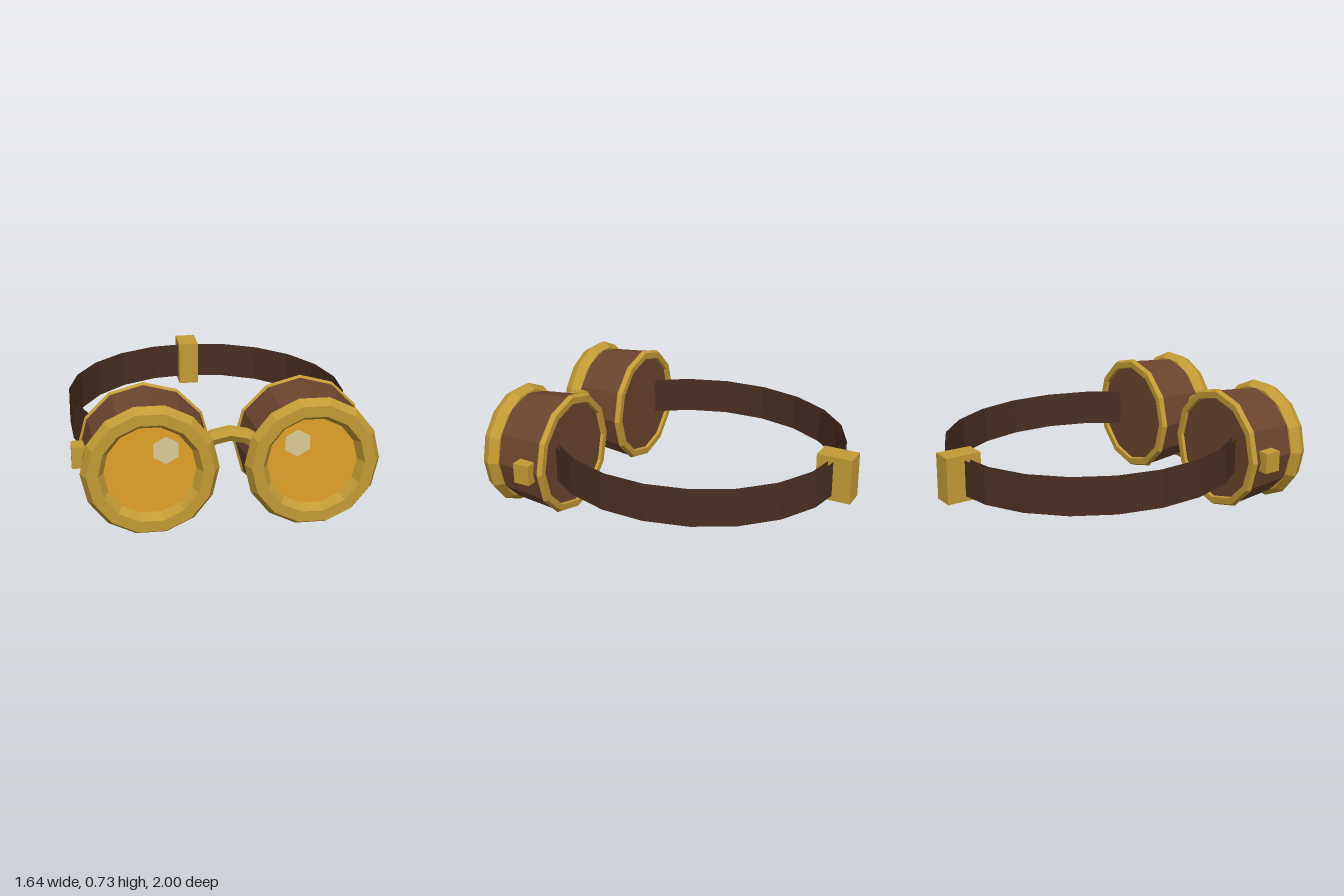
import * as THREE from 'three';

const paint = (color, side = THREE.FrontSide) =>
  new THREE.MeshStandardMaterial({ color, flatShading: true, side });

export function createModel() {
  const model = new THREE.Group();
  const brass = paint(0xc39a35);
  const leather = paint(0x6b442e);
  const strapLeather = paint(0x4a2e22, THREE.DoubleSide);
  const amber = paint(0xe0a028);
  const shine = paint(0xdccb96);
  const midY = 0.364, eyeX = 0.425;

  const add = (parent, name, geometry, material, x = 0, y = 0, z = 0) => {
    const mesh = new THREE.Mesh(geometry, material);
    mesh.name = name;
    mesh.position.set(x, y, z);
    parent.add(mesh);
    return mesh;
  };

  // Rim profile around the back of each cup: radius, depth
  const rimProfile = [[0.305, 0.6], [0.312, 0.58], [0.35, 0.58], [0.363, 0.605], [0.345, 0.622]]
    .map(([r, z]) => new THREE.Vector2(r, z));

  for (const side of [-1, 1]) {
    const eye = new THREE.Group();
    eye.name = side > 0 ? 'leftEyepiece' : 'rightEyepiece';
    eye.position.set(side * eyeX, midY, 0);
    model.add(eye);

    // Tapered leather cup
    add(eye, 'cup', new THREE.CylinderGeometry(0.322, 0.352, 0.31, 12).rotateX(Math.PI / 2), leather, 0, 0, 0.752);
    // Brass rim at the back, faceted ring at the front
    add(eye, 'backRim', new THREE.LatheGeometry(rimProfile, 12).rotateX(Math.PI / 2), brass);
    add(eye, 'frontRing', new THREE.TorusGeometry(0.3, 0.06, 6, 14), brass, 0, 0, 0.946);
    // Lens with a small glint towards the nose
    add(eye, 'lens', new THREE.CircleGeometry(0.25, 14), amber, 0, 0, 0.945);
    add(eye, 'glint', new THREE.CircleGeometry(0.075, 6, Math.PI / 2), shine, -side * 0.082, 0.11, 0.955);
    // Strap lug on the outer side
    add(eye, 'strapLug', new THREE.BoxGeometry(0.08, 0.12, 0.1), brass, side * 0.355, 0.004, 0.69);
  }

  // Arched nose bridge
  const arch = new THREE.QuadraticBezierCurve3(
    new THREE.Vector3(-0.16, 0.45, 0.86),
    new THREE.Vector3(0, 0.575, 0.86),
    new THREE.Vector3(0.16, 0.45, 0.86));
  add(model, 'noseBridge', new THREE.TubeGeometry(arch, 4, 0.042, 6), brass);

  // Head strap: outer and inner faces of an open band
  for (const [name, radius] of [['strapOuter', 0.9], ['strapInner', 0.868]]) {
    const band = new THREE.CylinderGeometry(radius, radius, 0.21, 16, 1, true, Math.PI / 4, Math.PI * 1.5);
    add(model, name, band.scale(0.9, 1, 1), strapLeather, 0, midY, 0);
  }

  // Buckle at the back of the strap
  add(model, 'buckle', new THREE.BoxGeometry(0.125, 0.27, 0.21), brass, 0, midY, -0.895);

  return model;
}
